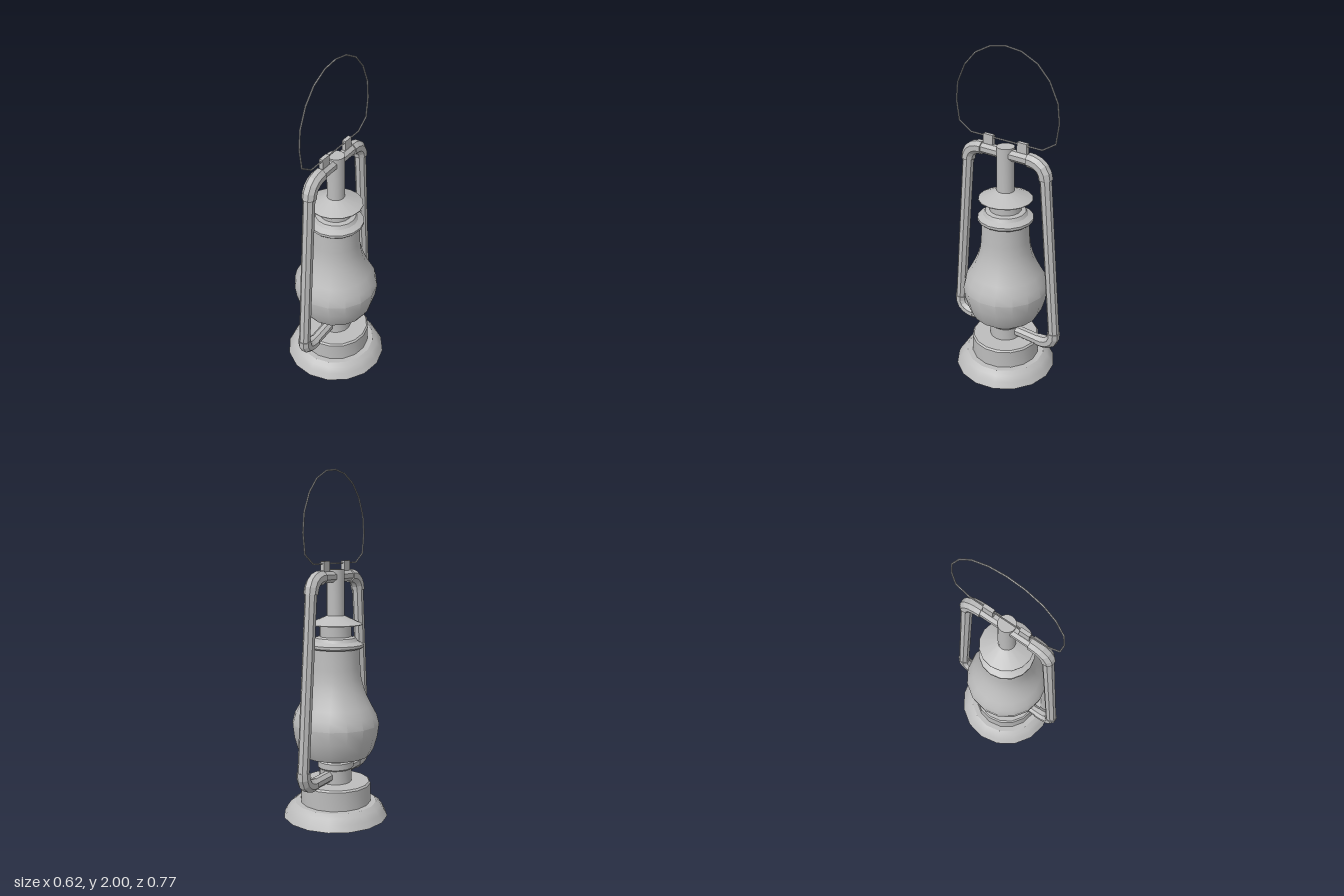
import * as THREE from 'three';
import { toCreasedNormals } from 'three/addons/utils/BufferGeometryUtils.js';

const SIDES = 16;

export function createModel() {
  const model = new THREE.Group();
  model.name = 'lantern';
  const metal = new THREE.MeshStandardMaterial({ color: 0xbcbcbc });
  metal.name = 'plain grey';

  const add = (name, geometry) => {
    const mesh = new THREE.Mesh(geometry, metal);
    mesh.name = name;
    model.add(mesh);
    return mesh;
  };

  // Turned part from [radius, height] pairs, bottom to top
  const turn = (name, profile) => {
    const points = profile.map(([r, y]) => new THREE.Vector2(r, y));
    return add(name, toCreasedNormals(new THREE.LatheGeometry(points, SIDES), 0.5));
  };

  // Octagonal pipe with closed ends, swept along a curve
  const pipe = (name, curve, radius, steps = 1, sides = 8) => {
    const outline = [];
    for (let i = 0; i < sides; i++) {
      const a = ((i + 0.5) / sides) * Math.PI * 2;
      outline.push(new THREE.Vector2(Math.cos(a) * radius, Math.sin(a) * radius));
    }
    return add(name, new THREE.ExtrudeGeometry(new THREE.Shape(outline), { steps, extrudePath: curve }));
  };

  // Base and fuel tank
  turn('base', [[0, 0], [0.308, 0], [0.29, 0.035], [0.268, 0.066], [0.24, 0.085], [0, 0.085]]);
  turn('fuelTank', [[0.207, 0.08], [0.207, 0.195], [0.198, 0.205], [0, 0.205]]);

  // Burner
  turn('burnerNeck', [[0.095, 0.2], [0.095, 0.29]]);
  turn('burnerRing', [[0, 0.285], [0.098, 0.285], [0.105, 0.293], [0.105, 0.327], [0.098, 0.335], [0, 0.335]]);
  turn('burnerTop', [[0.068, 0.33], [0.068, 0.375]]);

  // Globe
  turn('globe', [
    [0, 0.37], [0.203, 0.37], [0.225, 0.41], [0.245, 0.48], [0.255, 0.555], [0.241, 0.61], [0.213, 0.66],
    [0.187, 0.71], [0.165, 0.765], [0.15, 0.82], [0.144, 0.88], [0.139, 1.0], [0, 1.0],
  ]);

  // Collar, chimney and hood
  turn('collar', [[0, 0.995], [0.155, 0.995], [0.163, 1.003], [0.163, 1.018], [0.13, 1.035], [0.118, 1.055], [0.09, 1.062], [0, 1.062]]);
  turn('chimneyNeck', [[0.092, 1.055], [0.092, 1.14]]);
  turn('hood', [[0, 1.13], [0.157, 1.13], [0.157, 1.134], [0.05, 1.182]]);
  turn('chimney', [[0.051, 1.15], [0.051, 1.445], [0, 1.445]]);

  // Side frame, mirrored front and back
  for (const [side, s] of [['front', 1], ['back', -1]]) {
    const at = (y, z) => new THREE.Vector3(0, y, z * s);
    const line = (a, b) => new THREE.LineCurve3(a, b);
    const bend = (a, b, c) => new THREE.QuadraticBezierCurve3(a, b, c);
    pipe(side + 'LowerPipe', line(at(0.25, 0.05), at(0.25, 0.26)), 0.034);
    pipe(side + 'LowerElbow', bend(at(0.345, 0.351), at(0.25, 0.36), at(0.25, 0.245)), 0.039, 5);
    pipe(side + 'UprightPipe', line(at(0.33, 0.352), at(1.33, 0.265)), 0.034);
    pipe(side + 'UpperElbow', bend(at(1.315, 0.266), at(1.403, 0.259), at(1.403, 0.155)), 0.041, 5);
    pipe(side + 'UpperPipe', line(at(1.403, 0.03), at(1.403, 0.17)), 0.034);

    // Clip that holds the handle
    add(side + 'HandleClip', new THREE.BoxGeometry(0.023, 0.064, 0.065)).position.set(0, 1.46, 0.115 * s);
  }

  // Wire handle, drawn as one half and mirrored
  const half = [[0.24, 1.478], [0.323, 1.53], [0.34, 1.645], [0.328, 1.75], [0.275, 1.857], [0.2, 1.934], [0.1, 1.982]];
  const loop = [...half, [0, 1.996], ...half.map(([z, y]) => [-z, y]).reverse()];
  loop.forEach(([z, y], i) => {
    const [z2, y2] = loop[(i + 1) % loop.length];
    const wire = new THREE.LineCurve3(new THREE.Vector3(0, y, z), new THREE.Vector3(0, y2, z2));
    pipe('handleWire', wire, 0.0045, 1, 6);
  });

  return model;
}
